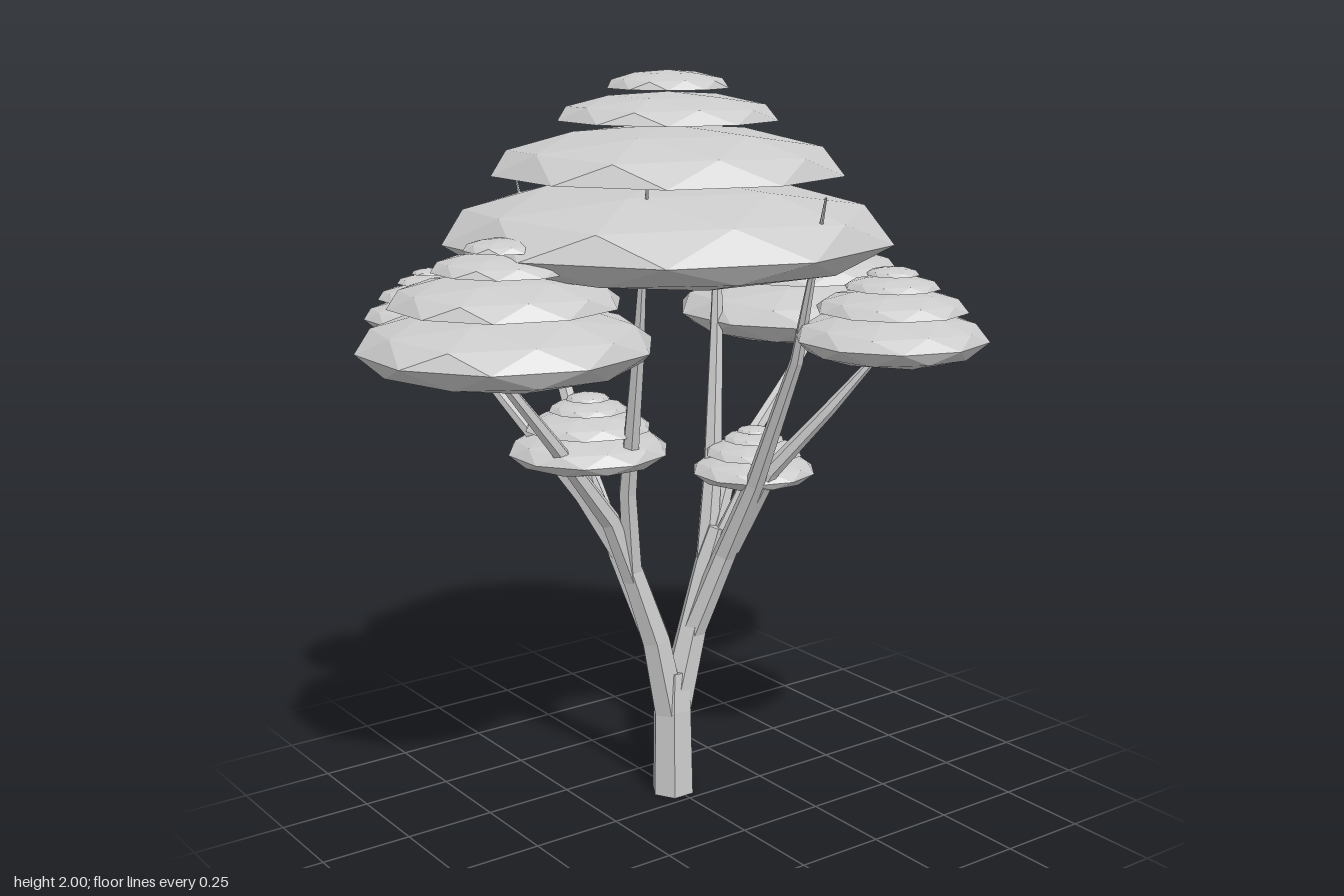
import * as THREE from 'three';

const material = new THREE.MeshStandardMaterial({ color: 0xcccccc, flatShading: true, side: THREE.DoubleSide });

// Faceted dome: pole-up icosphere with separate heights above and below its rim
function domeGeometry(radius, up, down) {
  const geo = new THREE.IcosahedronGeometry(1, 1);
  geo.rotateZ(Math.atan(2 / (1 + Math.sqrt(5)))).rotateY(Math.PI);
  const p = geo.attributes.position;
  for (let i = 0; i < p.count; i++) {
    const y = p.getY(i);
    p.setXYZ(i, p.getX(i) * radius, y * (y > 0 ? up : down), p.getZ(i) * radius);
  }
  geo.computeVertexNormals();
  return geo;
}

// Stack of shrinking tiers; rim sits at the group's origin
function canopy(name, x, y, z, radius, depth) {
  const s = radius / 0.607;
  const group = new THREE.Group();
  group.name = name;
  const tiers = [ // rim height, radius, height above rim, depth below rim
    [0, 0.607, 0.155, depth / s],
    [0.17, 0.475, 0.12, 0],
    [0.305, 0.298, 0.07, 0],
    [0.385, 0.165, 0.045, 0],
  ];
  tiers.forEach(([rim, r, up, down], i) => {
    const mesh = new THREE.Mesh(domeGeometry(r * s, up * s, down * s), material);
    mesh.position.y = rim * s;
    mesh.name = `leafTier${i + 1}`;
    group.add(mesh);
  });
  group.position.set(x, y, z);
  return group;
}

// Tapered six-sided limb; each point is [x, y, z, radius]
function limb(name, points) {
  const sides = 6, pos = [], index = [];
  const v = points.map((p) => new THREE.Vector3(p[0], p[1], p[2]));
  points.forEach((p, k) => {
    const dir = v[Math.min(k + 1, v.length - 1)].clone().sub(v[Math.max(k - 1, 0)]).normalize();
    if (k === 0 && p[1] === 0) dir.set(0, 1, 0); // level cut at the ground
    const a = new THREE.Vector3(1, 0, 0).addScaledVector(dir, -dir.x).normalize();
    const b = new THREE.Vector3().crossVectors(a, dir);
    for (let i = 0; i < sides; i++) {
      const t = (i / sides) * Math.PI * 2;
      const q = v[k].clone().addScaledVector(a, Math.cos(t) * p[3]).addScaledVector(b, Math.sin(t) * p[3]);
      pos.push(q.x, q.y, q.z);
      if (k > 0) {
        const j = (i + 1) % sides, lo = (k - 1) * sides, hi = k * sides;
        index.push(lo + i, hi + i, lo + j, lo + j, hi + i, hi + j);
      }
    }
  });
  // End caps
  const last = (points.length - 1) * sides;
  for (let i = 1; i < sides - 1; i++) {
    index.push(0, i, i + 1, last, last + i + 1, last + i);
  }
  const geo = new THREE.BufferGeometry();
  geo.setAttribute('position', new THREE.Float32BufferAttribute(pos, 3));
  geo.setIndex(index);
  geo.computeVertexNormals();
  const mesh = new THREE.Mesh(geo, material);
  mesh.name = name;
  return mesh;
}

export function createModel() {
  const tree = new THREE.Group();
  tree.name = 'tree';

  // Leaf canopies
  tree.add(
    canopy('mainCanopy', 0.01, 1.57, -0.11, 0.607, 0.115),
    canopy('rightCanopy', -0.54, 1.35, -0.03, 0.375, 0.095),
    canopy('leftCanopy', 0.54, 1.315, -0.187, 0.365, 0.09),
    canopy('frontCanopy', 0.295, 1.353, 0.455, 0.25, 0.07),
    canopy('backCanopy', -0.49, 1.35, -0.507, 0.182, 0.045),
    canopy('lowerRightCanopy', -0.196, 1.0, -0.195, 0.22, 0.053),
    canopy('lowerLeftCanopy', 0.22, 0.92, -0.005, 0.172, 0.042),
  );

  // Trunk and the two main limbs
  tree.add(
    limb('trunk', [[-0.005, 0, -0.075, 0.062], [-0.005, 0.25, -0.077, 0.057], [0.0, 0.36, -0.078, 0.046]]),
    limb('rightLimb', [[-0.012, 0.24, -0.077, 0.05], [-0.055, 0.46, -0.085, 0.043], [-0.12, 0.66, -0.1, 0.035], [-0.15, 0.76, -0.11, 0.027]]),
    limb('leftLimb', [[0.0, 0.24, -0.077, 0.05], [0.055, 0.46, -0.07, 0.043], [0.105, 0.66, -0.065, 0.035], [0.13, 0.76, -0.05, 0.027]]),
  );

  // Branches from the right limb
  tree.add(
    limb('backTallBranch', [[-0.06, 0.46, -0.09, 0.035], [-0.13, 0.7, -0.15, 0.032], [-0.165, 0.95, -0.26, 0.026], [-0.165, 1.3, -0.44, 0.019], [-0.15, 1.69, -0.62, 0.003]]),
    limb('rightTallBranch', [[-0.12, 0.64, -0.1, 0.03], [-0.155, 0.9, -0.07, 0.026], [-0.18, 1.3, 0.02, 0.018], [-0.21, 1.75, 0.11, 0.003]]),
    limb('rightCanopyBranch', [[-0.11, 0.62, -0.1, 0.032], [-0.19, 0.82, -0.1, 0.029], [-0.36, 1.05, -0.1, 0.021], [-0.53, 1.27, -0.11, 0.014], [-0.68, 1.45, -0.15, 0.003]]),
    limb('backCanopyBranch', [[-0.13, 0.7, -0.14, 0.028], [-0.21, 0.87, -0.21, 0.024], [-0.36, 1.13, -0.36, 0.016], [-0.48, 1.35, -0.49, 0.007]]),
    limb('lowerRightTwig', [[-0.15, 0.8, -0.17, 0.018], [-0.19, 0.92, -0.19, 0.014], [-0.2, 1.04, -0.2, 0.006]]),
  );

  // Branches from the left limb
  tree.add(
    limb('frontTallBranch', [[0.055, 0.46, -0.065, 0.035], [0.11, 0.7, 0.01, 0.032], [0.13, 0.92, 0.115, 0.026], [0.132, 1.28, 0.28, 0.018], [0.11, 1.71, 0.41, 0.003]]),
    limb('leftTallBranch', [[0.105, 0.64, -0.07, 0.032], [0.15, 0.9, -0.1, 0.028], [0.2, 1.3, -0.15, 0.019], [0.245, 1.75, -0.2, 0.003]]),
    limb('frontCanopyBranch', [[0.12, 0.72, 0.02, 0.03], [0.17, 0.95, 0.13, 0.024], [0.27, 1.13, 0.25, 0.018], [0.37, 1.31, 0.36, 0.008]]),
    limb('leftCanopyBranch', [[0.12, 0.7, -0.07, 0.028], [0.21, 0.9, -0.1, 0.025], [0.4, 1.07, -0.14, 0.019], [0.6, 1.25, -0.19, 0.012], [0.66, 1.32, -0.21, 0.004]]),
    limb('lowerLeftTwig', [[0.135, 0.74, -0.04, 0.018], [0.18, 0.85, -0.02, 0.013], [0.215, 0.97, -0.005, 0.005]]),
  );

  return tree;
}
